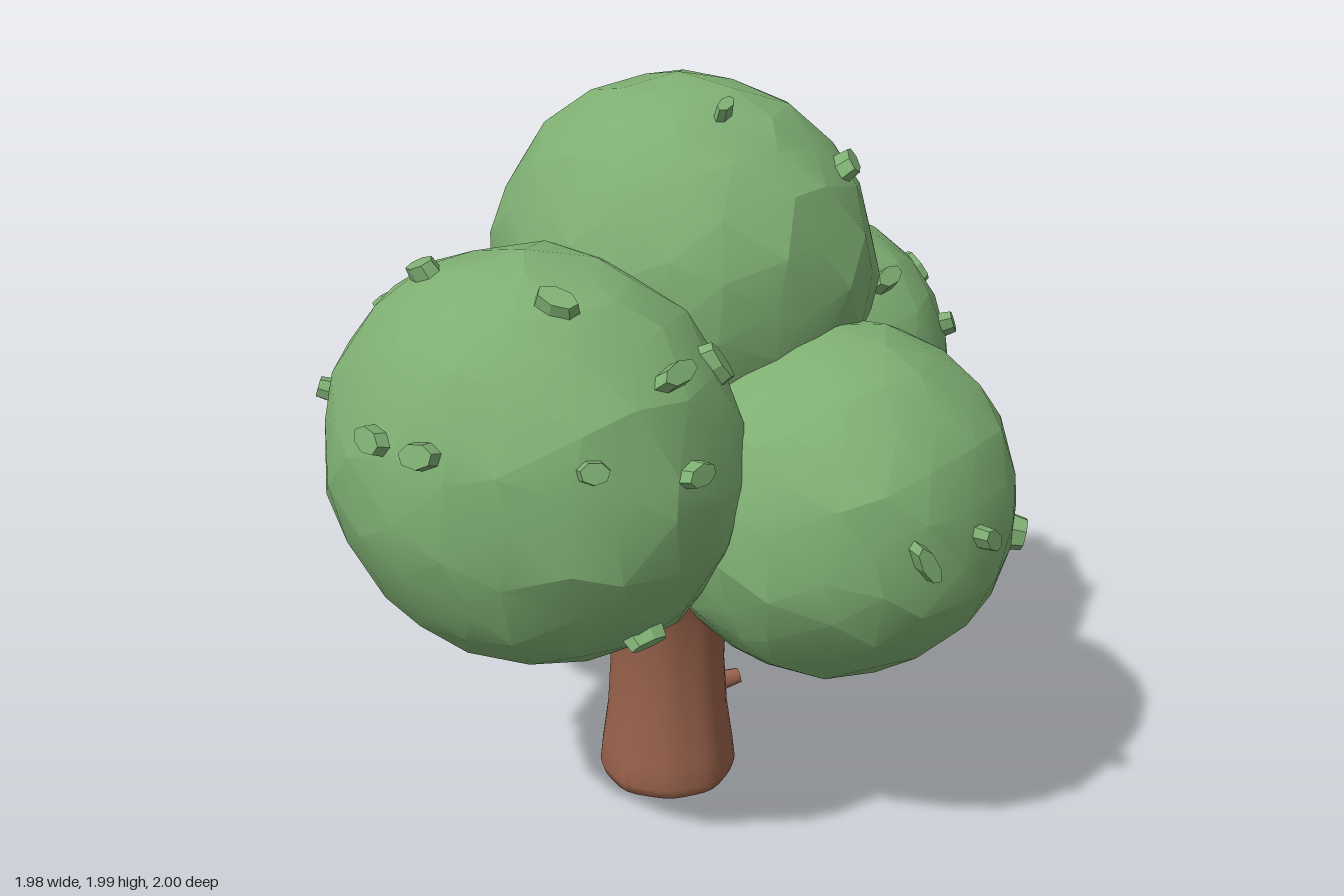
import * as THREE from 'three';
import { toCreasedNormals } from 'three/addons/utils/BufferGeometryUtils.js';

const foliage = new THREE.MeshStandardMaterial({ color: 0x7eae72 });
foliage.name = 'leaf green';
const bark = new THREE.MeshStandardMaterial({ color: 0x97614a });
bark.name = 'bark brown';

function add(parent, name, geometry, material) {
  const mesh = new THREE.Mesh(geometry, material);
  mesh.name = name;
  parent.add(mesh);
  return mesh;
}

// Same point always gives the same value, so shared corners stay together
function hash(x, y, z, seed) {
  const s = Math.sin(Math.round(x * 1000) * 0.1271 + Math.round(y * 1000) * 0.3117
    + Math.round(z * 1000) * 0.0747 + seed * 13.7) * 43758.5453;
  return s - Math.floor(s);
}

// Lumpy faceted ellipsoid
function clumpGeometry(radii, seed) {
  const g = new THREE.IcosahedronGeometry(1, 3);
  const p = g.attributes.position;
  const v = new THREE.Vector3();
  for (let i = 0; i < p.count; i++) {
    v.fromBufferAttribute(p, i);
    const { x, y, z } = v;
    const j = (k) => (hash(x, y, z, seed + k) - 0.5) * 0.1;
    v.set(x + j(1), y + j(2), z + j(3)).normalize();
    v.multiplyScalar(0.985 + 0.035 * hash(x, y, z, seed + 4));
    p.setXYZ(i, v.x * radii[0], v.y * radii[1], v.z * radii[2]);
  }
  return toCreasedNormals(g, 0.32);
}

// Small chunky leaf resting on a clump
function addLeaf(parent, clump, [x, y, z, length, width, twist]) {
  const [cx, cy, cz] = clump.center;
  const [rx, ry, rz] = clump.radii;
  const d = new THREE.Vector3((x - cx) / rx, (y - cy) / ry, (z - cz) / rz).normalize();
  const normal = new THREE.Vector3(d.x / rx, d.y / ry, d.z / rz).normalize();
  const shape = toCreasedNormals(new THREE.CylinderGeometry(0.42, 0.5, 1, 7), 0.6);
  const leaf = add(parent, 'leaf', shape, foliage);
  leaf.position.set(cx + d.x * rx, cy + d.y * ry, cz + d.z * rz).addScaledVector(normal, 0.003);
  leaf.quaternion.setFromUnitVectors(new THREE.Vector3(0, 1, 0), normal);
  leaf.rotateY(twist);
  leaf.scale.set(length, 0.045, width);
}

// Leaves: x, y, z, length, width, twist
const clumps = [
  { name: 'frontFoliage', center: [0, 1.165, 0.53], radii: [0.54, 0.515, 0.47], mirrorLeaves: true, leaves: [
    [0.075, 1.33, 0.98, 0.11, 0.07, 0.3], [0.2, 1.61, 0.66, 0.12, 0.07, 0.2],
    [0.42, 1.32, 0.8, 0.08, 0.06, 0.8], [0.44, 1.47, 0.54, 0.06, 0.14, 0.1],
    [0.4, 1.43, 0.37, 0.12, 0.06, 0.6], [0.53, 1.27, 0.58, 0.06, 0.1, 0],
    [0.41, 0.85, 0.62, 0.06, 0.11, 0]] },
  { name: 'topFoliage', center: [0, 1.52, -0.06], radii: [0.515, 0.48, 0.465], leaves: [
    [0.21, 1.95, 0.05, 0.04, 0.08, 0.2], [0.4, 1.8, -0.22, 0.07, 0.12, 0.7],
    [-0.4, 1.8, -0.22, 0.07, 0.12, -0.7], [0, 1.62, -0.52, 0.07, 0.06, 0]] },
  { name: 'backFoliage', center: [0, 1.085, -0.54], radii: [0.485, 0.485, 0.46], mirrorLeaves: true, leaves: [
    [0.35, 1.42, -0.5, 0.06, 0.13, 0.1], [0.42, 1.25, -0.76, 0.07, 0.11, 0],
    [0.47, 1.1, -0.67, 0.06, 0.11, 0.6], [0.48, 1.08, -0.61, 0.04, 0.04, 0],
    [0.24, 0.98, -0.93, 0.08, 0.06, 0.3], [0.22, 1.34, -0.88, 0.12, 0.07, 0.5],
    [0.09, 1.37, -0.9, 0.11, 0.07, 0.2]] },
];
for (const s of [1, -1]) clumps.push({
  name: s > 0 ? 'leftFoliage' : 'rightFoliage', center: [s * 0.505, 0.995, -0.03], radii: [0.46, 0.45, 0.47], leaves: [
    [s * 0.9, 1.02, 0.2, 0.13, 0.05, 0], [s * 0.97, 1.03, 0.02, 0.09, 0.055, s * 0.7],
    [s * 0.9, 0.92, -0.27, 0.1, 0.1, 0], [s * 0.72, 0.67, -0.26, 0.04, 0.05, 0]] });

export function createModel() {
  const tree = new THREE.Group();
  tree.name = 'tree';

  // Foliage clumps with their leaves
  clumps.forEach((clump, i) => {
    const group = new THREE.Group();
    group.name = clump.name;
    tree.add(group);
    add(group, 'clump', clumpGeometry(clump.radii, i * 7 + 1), foliage).position.set(...clump.center);
    for (const leaf of clump.leaves) {
      addLeaf(group, clump, leaf);
      if (clump.mirrorLeaves) addLeaf(group, clump, [-leaf[0], ...leaf.slice(1, 5), -leaf[5]]);
    }
  });

  // Trunk: flared at both ends, with shallow bark ridges
  const profile = [[0, 0.012], [0.15, 0.012], [0.182, 0.025], [0.192, 0.055], [0.185, 0.12], [0.168, 0.24],
    [0.159, 0.38], [0.163, 0.52], [0.185, 0.64], [0.23, 0.75], [0.27, 0.85], [0, 0.95]];
  const trunkGeometry = new THREE.LatheGeometry(profile.map((p) => new THREE.Vector2(...p)), 40);
  const p = trunkGeometry.attributes.position;
  for (let i = 0; i < p.count; i++) {
    const a = Math.atan2(p.getZ(i), p.getX(i));
    const k = 1 + 0.012 * Math.sin(a * 9) + 0.008 * Math.sin(a * 5 + p.getY(i) * 3);
    p.setX(i, p.getX(i) * k);
    p.setZ(i, p.getZ(i) * k);
  }
  trunkGeometry.computeVertexNormals();
  add(tree, 'trunk', trunkGeometry, bark);

  // Thick rounded boughs reaching under the clumps
  const boughs = [[0, 0.31, 0.735, 'front'], [0, -0.3, 0.735, 'back'], [0.24, 0, 0.76, 'left'], [-0.24, 0, 0.76, 'right']];
  for (const [x, z, y, side] of boughs) {
    const end = new THREE.Vector3(x, y, z);
    const start = new THREE.Vector3(0, 0.66, 0);
    const bough = add(tree, side + 'Bough', new THREE.CapsuleGeometry(0.1, end.distanceTo(start), 6, 16), bark);
    bough.position.copy(start).add(end).multiplyScalar(0.5);
    bough.quaternion.setFromUnitVectors(new THREE.Vector3(0, 1, 0), end.clone().sub(start).normalize());
  }

  // Small broken twig on the trunk
  const twigDirection = new THREE.Vector3(0.62, 0.2, -0.76).normalize();
  const twig = add(tree, 'twig', new THREE.CylinderGeometry(0.022, 0.034, 0.09, 8), bark);
  twig.position.set(0.1, 0.275, -0.135);
  twig.quaternion.setFromUnitVectors(new THREE.Vector3(0, 1, 0), twigDirection);

  return tree;
}
